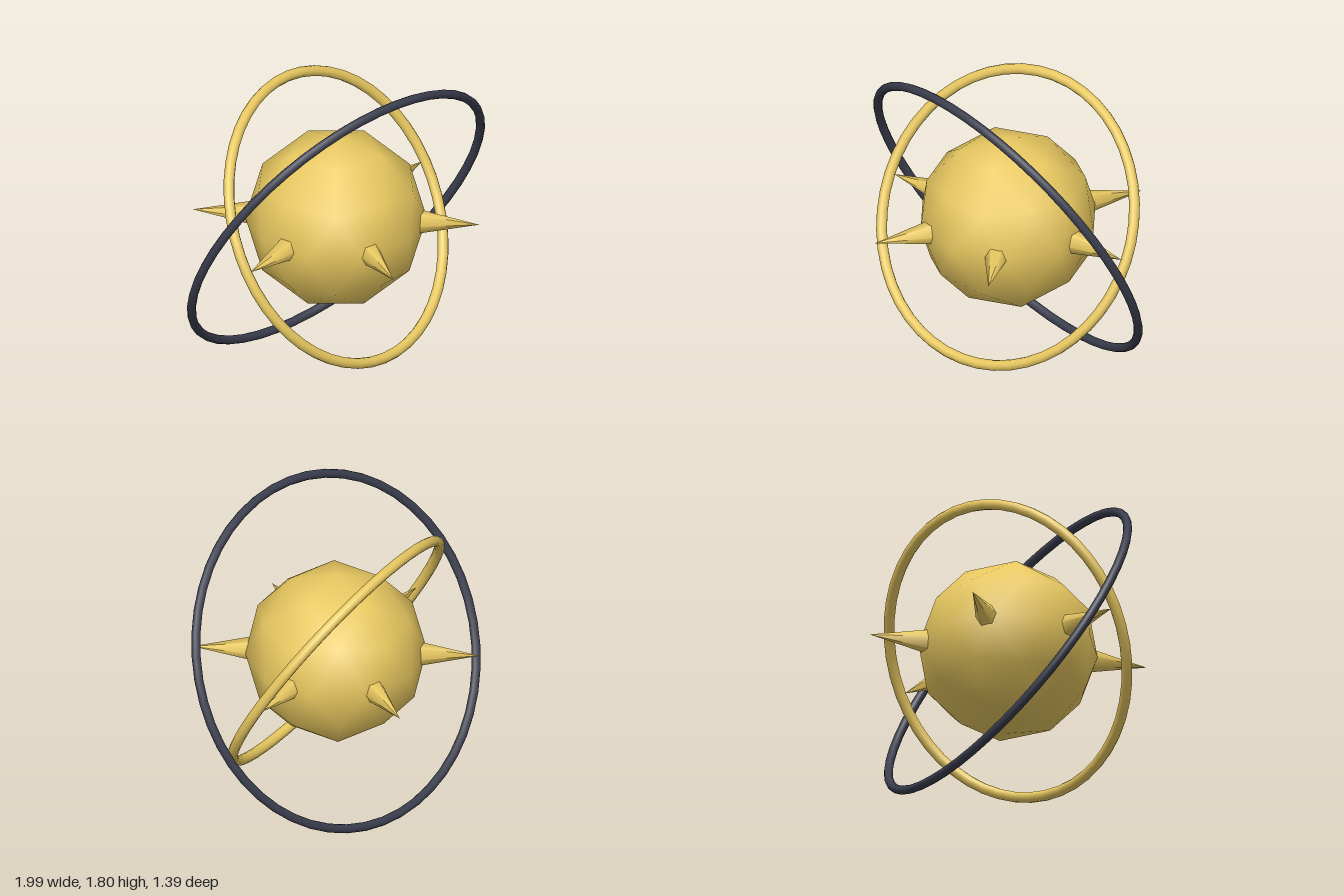
import * as THREE from 'three';

export function createModel() {
  const group = new THREE.Group();
  group.name = 'ringedSpikedOrb';
  const gold = new THREE.MeshStandardMaterial({ color: 0xe8c860 });
  const dark = new THREE.MeshStandardMaterial({ color: 0x3a3d4d });
  const centreY = 0.91;

  const add = (name, geometry, material) => {
    const mesh = new THREE.Mesh(geometry, material);
    mesh.name = name;
    mesh.position.y = centreY;
    group.add(mesh);
    return mesh;
  };

  // Core: smooth-shaded icosphere, turned so that a corner points straight up
  const core = new THREE.IcosahedronGeometry(0.505, 1);
  core.rotateZ(-Math.atan(2 / (1 + Math.sqrt(5))));
  add('core', core, gold);

  // Six spikes around the equator, tips at radius 0.8
  const tip = 0.8, length = 0.4;
  for (let i = 0; i < 6; i++) {
    const spike = new THREE.ConeGeometry(0.08, length, 6);
    spike.rotateZ(-Math.PI / 2);
    spike.translate(tip - length / 2, 0, 0);
    spike.rotateY((i * Math.PI) / 3);
    add(`spike${i + 1}`, spike, gold);
  }

  // Inner ring leans back by 30 degrees
  const inner = add('innerRing', new THREE.TorusGeometry(0.83, 0.03, 10, 48), gold);
  inner.rotation.x = -Math.PI / 6;

  // Outer ring leans forward and slightly sideways
  const outer = add('outerRing', new THREE.TorusGeometry(0.99, 0.025, 10, 48), dark);
  const axis = new THREE.Vector3(-0.19, -0.46, 0.866).normalize();
  outer.quaternion.setFromUnitVectors(new THREE.Vector3(0, 0, 1), axis);

  return group;
}
